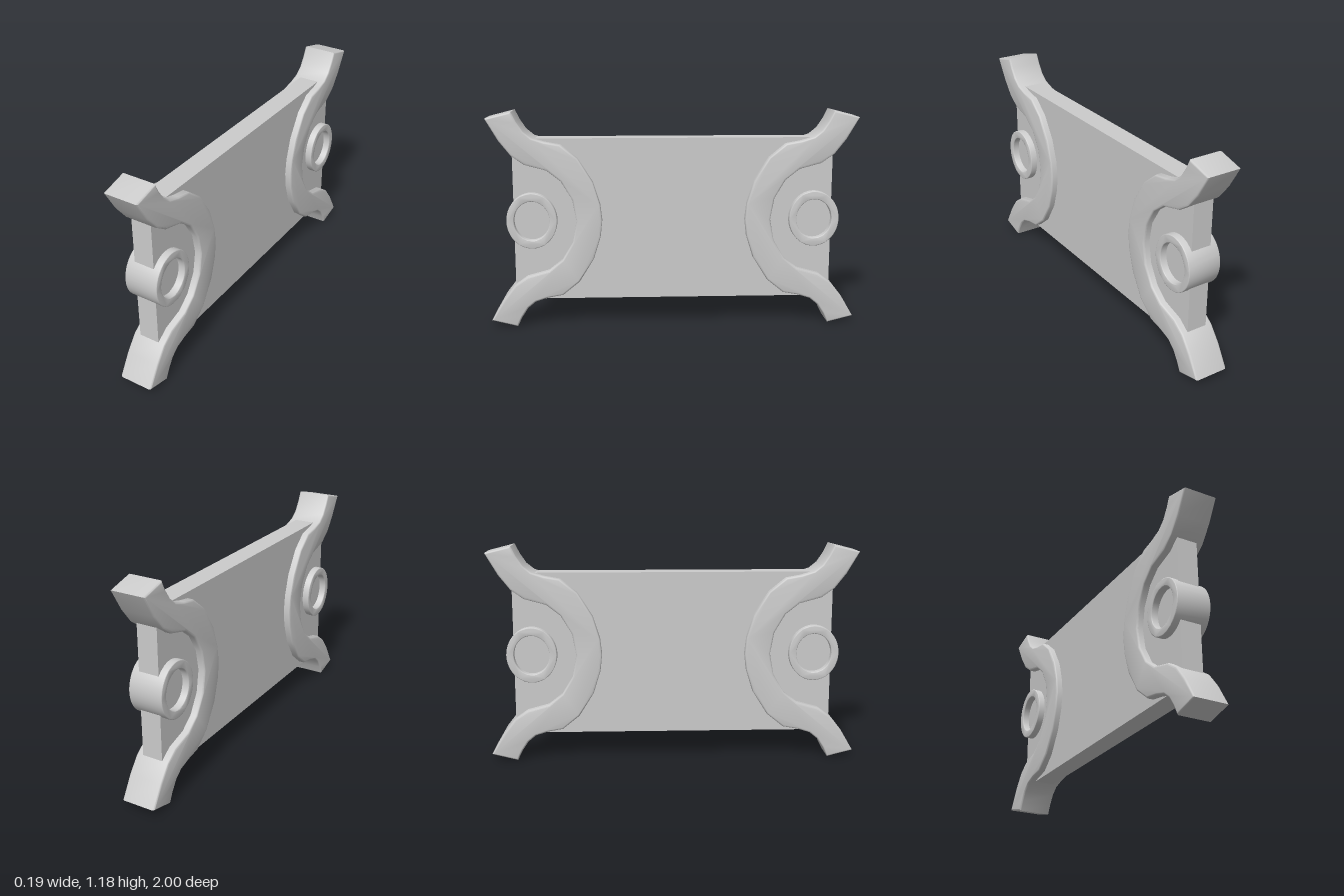
import * as THREE from 'three';
import { toCreasedNormals } from 'three/addons/utils/BufferGeometryUtils.js';

const MID_Y = 0.59;
const HALF_WIDTH = 0.095;
const BEVEL = 0.01;
const material = new THREE.MeshStandardMaterial({ color: 0xcccccc });

// Extrude a (z, y) profile across x, with softly rounded edges.
function extrudeAcross(shape, bevel) {
  const depth = 2 * (HALF_WIDTH - bevel);
  const geometry = new THREE.ExtrudeGeometry(shape, {
    depth,
    curveSegments: 24,
    bevelEnabled: true,
    bevelThickness: bevel,
    bevelSize: bevel,
    bevelOffset: -bevel,
    bevelSegments: 3,
  });
  geometry.translate(0, 0, -depth / 2);
  geometry.rotateY(-Math.PI / 2);
  return toCreasedNormals(geometry, 0.65);
}

function addMesh(parent, name, geometry) {
  const mesh = new THREE.Mesh(geometry, material);
  mesh.name = name;
  parent.add(mesh);
  return mesh;
}

// Curved brace: half profiles as [z, height above the middle], mirrored below.
function braceShape() {
  const inner = [
    [0.388, 0], [0.398, 0.09], [0.436, 0.212], [0.516, 0.34], [0.607, 0.414],
    [0.69, 0.429], [0.757, 0.45], [0.8, 0.485], [0.835, 0.538], [0.86, 0.59],
  ];
  const outer = [
    [1.0, 0.554], [0.932, 0.437], [0.869, 0.357], [0.8, 0.308], [0.682, 0.276],
    [0.607, 0.217], [0.548, 0.116], [0.527, 0],
  ];
  const upper = [...inner, ...outer];
  const lower = upper.slice(1, -1).reverse().map(([z, h]) => [z, -h]);
  // Reversed so that the outline runs counter-clockwise.
  const points = [...upper, ...lower].reverse();
  return new THREE.Shape(points.map(([z, h]) => new THREE.Vector2(z, h + MID_Y)));
}

// Slightly oval ring around the pivot at each end.
function ringShape() {
  const shape = new THREE.Shape();
  shape.absellipse(0.767, MID_Y + 0.002, 0.136, 0.152, 0, Math.PI * 2, false);
  const hole = new THREE.Path();
  hole.absellipse(0.767, MID_Y + 0.002, 0.096, 0.107, 0, Math.PI * 2, true);
  shape.holes.push(hole);
  return shape;
}

export function createModel() {
  const model = new THREE.Group();
  model.name = 'bracedPanel';

  // Flat central panel
  const panel = addMesh(model, 'panel', new THREE.BoxGeometry(0.114, 0.886, 1.732));
  panel.position.y = 0.592;

  // Brace and ring at the front and, turned around, at the back
  const brace = extrudeAcross(braceShape(), BEVEL);
  const ring = extrudeAcross(ringShape(), 0.004);
  for (const [name, turn] of [['front', 0], ['back', Math.PI]]) {
    const end = new THREE.Group();
    end.name = name + 'End';
    end.rotation.y = turn;
    addMesh(end, name + 'Brace', brace);
    addMesh(end, name + 'Ring', ring);
    model.add(end);
  }
  return model;
}
